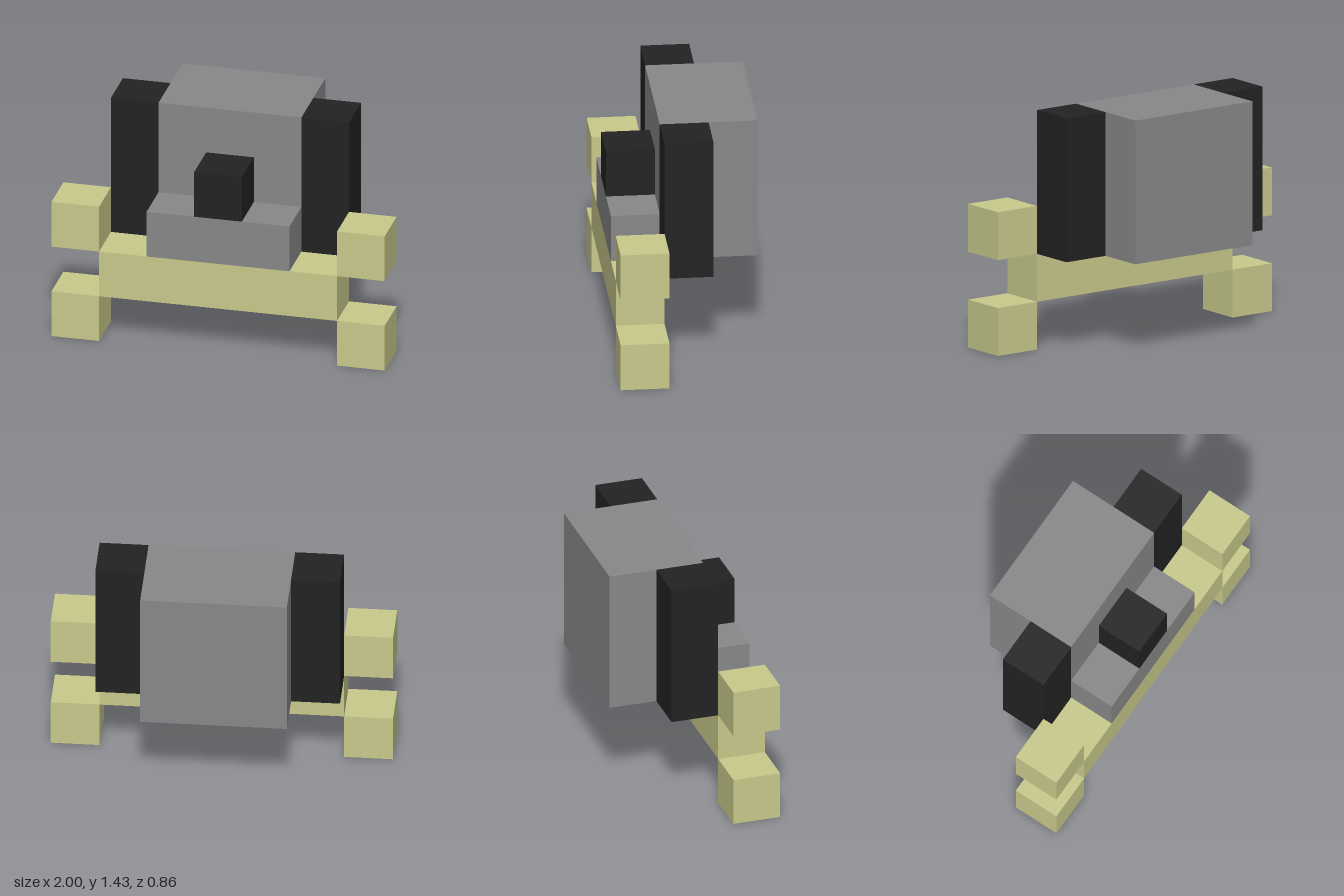
import * as THREE from 'three';

// One block of the modelling grid; the model is seven blocks wide
const U = 2 / 7;

const bone = new THREE.MeshStandardMaterial({ color: 0xc8c98b });
bone.name = 'bone';
const grey = new THREE.MeshStandardMaterial({ color: 0x888888 });
grey.name = 'grey';
const black = new THREE.MeshStandardMaterial({ color: 0x222222 });
black.name = 'black';

// Box spanning two opposite corners, given in blocks
function block(name, material, [x0, y0, z0], [x1, y1, z1]) {
  const geometry = new THREE.BoxGeometry((x1 - x0) * U, (y1 - y0) * U, (z1 - z0) * U);
  const mesh = new THREE.Mesh(geometry, material);
  mesh.name = name;
  mesh.position.set((x0 + x1) / 2, (y0 + y1) / 2, (z0 + z1) / 2).multiplyScalar(U);
  return mesh;
}

export function createModel() {
  const model = new THREE.Group();
  model.name = 'dogHeadWithBone';

  // Head, muzzle and nose
  model.add(
    block('head', grey, [-1.5, 2, -1.5], [1.5, 5, 0.5]),
    block('muzzle', grey, [-1.5, 2, 0.5], [1.5, 3, 1.5]),
    block('nose', black, [-0.5, 3, 0.5], [0.5, 4, 1.5]),
  );

  // Bone held below the muzzle
  model.add(block('boneShaft', bone, [-2.5, 1, 0.5], [2.5, 2, 1.5]));

  // Ears and bone knobs on both sides
  for (const [side, s] of [['left', 1], ['right', -1]]) {
    const span = (a, b) => (s > 0 ? [a, b] : [-b, -a]);
    const [e0, e1] = span(1.5, 2.5);
    const [k0, k1] = span(2.5, 3.5);
    model.add(
      block(side + 'Ear', black, [e0, 2, -0.5], [e1, 5, 0.5]),
      block(side + 'LowerKnob', bone, [k0, 0, 0.5], [k1, 1, 1.5]),
      block(side + 'UpperKnob', bone, [k0, 2, 0.5], [k1, 3, 1.5]),
    );
  }
  return model;
}
